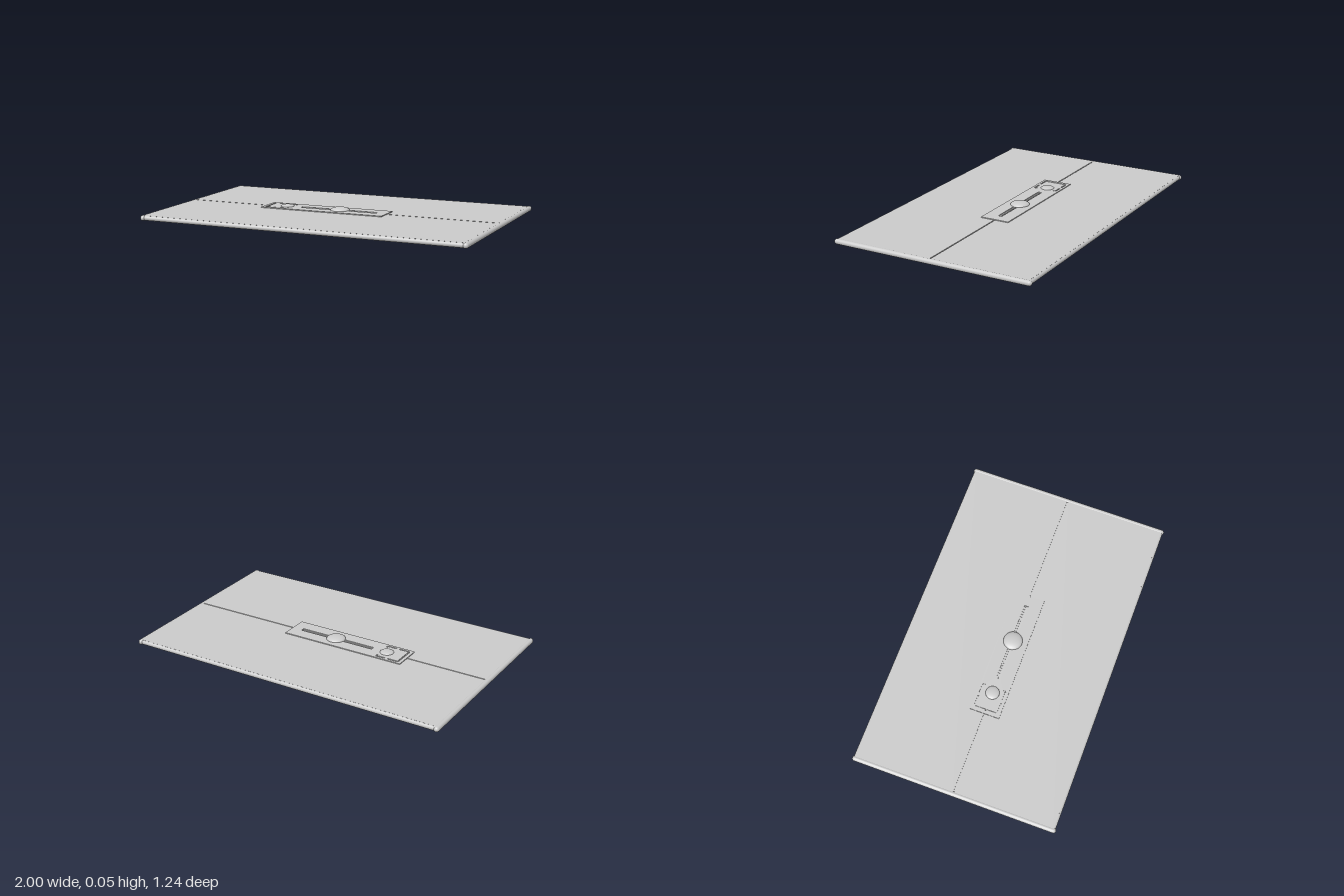
import * as THREE from 'three';

const material = new THREE.MeshStandardMaterial({ color: 0xcccccc });

export function createModel() {
  const group = new THREE.Group();
  const add = (name, geometry, x = 0, y = 0, z = 0) => {
    const mesh = new THREE.Mesh(geometry, material);
    mesh.name = name;
    mesh.position.set(x, y, z);
    group.add(mesh);
    return mesh;
  };

  // Board: a base with two thin top sheets that leave a seam along the middle
  add('boardBase', new THREE.BoxGeometry(1.97, 0.024, 1.21), 0, 0.014, 0);
  for (const s of [-1, 1])
    add(s > 0 ? 'frontSheet' : 'backSheet', new THREE.BoxGeometry(1.97, 0.004, 0.602), 0, 0.028, s * 0.304);

  // Round edge rails, the side ones ending in domes at the corners
  for (const s of [-1, 1]) {
    const side = add(s > 0 ? 'leftRail' : 'rightRail', new THREE.CapsuleGeometry(0.016, 1.212, 8, 20), s * 0.984, 0.016, 0);
    side.rotation.x = Math.PI / 2;
    const end = add(s > 0 ? 'frontRail' : 'backRail', new THREE.CylinderGeometry(0.014, 0.014, 1.97, 20), 0, 0.016, s * 0.602);
    end.rotation.z = Math.PI / 2;
  }

  // Raised centre plate, drawn in plan with y standing for -z
  const path = (points, Kind = THREE.Path) => new Kind(points.map(([x, y]) => new THREE.Vector2(x, y)));
  const plate = path([[-0.48, -0.09], [0.3, -0.09], [0.3, 0.09], [-0.48, 0.09]], THREE.Shape);

  // Long slot under the centre knob
  plate.holes.push(path([[-0.25, -0.012], [-0.25, 0.012], [0.235, 0.012], [0.235, -0.012]]));

  // Bracket-shaped groove around the small knob, with two short hooks
  plate.holes.push(path([
    [-0.39, 0.075], [-0.452, 0.075], [-0.46, 0.067], [-0.46, -0.067], [-0.452, -0.075], [-0.39, -0.075],
    [-0.39, -0.067], [-0.452, -0.067], [-0.452, 0.067], [-0.39, 0.067],
  ]));
  for (const s of [-1, 1])
    plate.holes.push(path([
      [-0.37, s * 0.075], [-0.318, s * 0.075], [-0.31, s * 0.067], [-0.31, s * 0.055],
      [-0.318, s * 0.055], [-0.318, s * 0.067], [-0.37, s * 0.067],
    ]));
  const plateGeometry = new THREE.ExtrudeGeometry(plate, { depth: 0.006, bevelEnabled: false });
  plateGeometry.rotateX(-Math.PI / 2);
  add('centrePlate', plateGeometry, 0, 0.029, 0);

  // Shallow domed knobs
  const dome = (name, x, radius, height) => {
    const profile = [new THREE.Vector2(radius, -0.004)];
    for (let i = 0; i <= 10; i++) {
      const a = (i / 10) * Math.PI / 2;
      profile.push(new THREE.Vector2(radius * Math.cos(a), height * Math.sin(a)));
    }
    add(name, new THREE.LatheGeometry(profile, 40), x, 0.035, 0);
  };
  dome('centreKnob', 0, 0.057, 0.019);
  dome('smallKnob', -0.345, 0.041, 0.012);

  return group;
}
